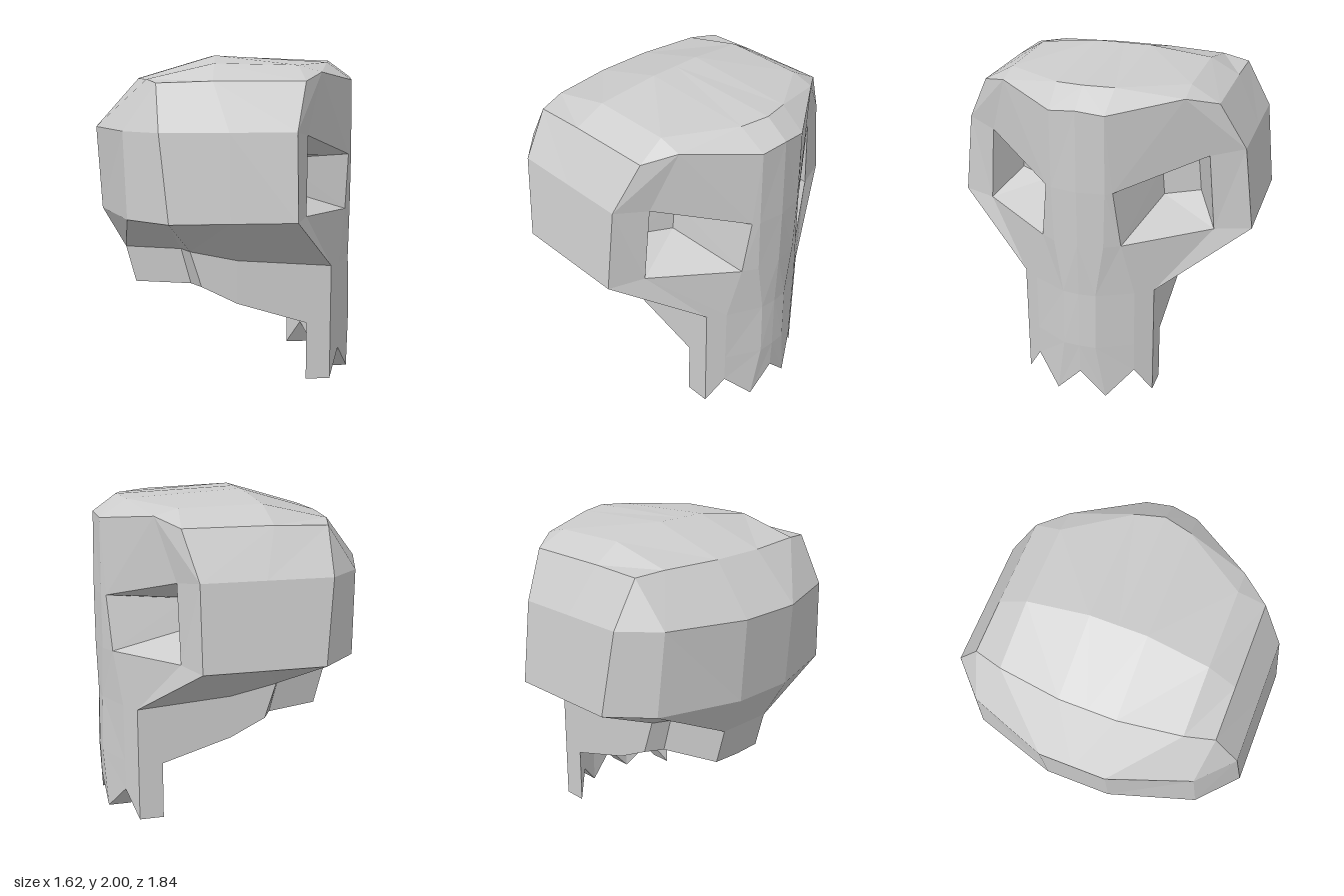
import * as THREE from 'three';

const material = new THREE.MeshStandardMaterial({ color: 0xcccccc, flatShading: true });

// Collects polygons for the +z half and mirrors each one to -z.
// 'out' is a rough outward direction that settles the corner order.
function makePart(name, build) {
  const pos = [];
  const face = (out, ...pts) => {
    const n = new THREE.Vector3();
    pts.forEach((p, i) => {
      const q = pts[(i + 1) % pts.length];
      n.x += (p[1] - q[1]) * (p[2] + q[2]);
      n.y += (p[2] - q[2]) * (p[0] + q[0]);
      n.z += (p[0] - q[0]) * (p[1] + q[1]);
    });
    const ring = n.dot(new THREE.Vector3(...out)) < 0 ? [...pts].reverse() : pts;
    for (let i = 1; i < ring.length - 1; i++) {
      const tri = [ring[0], ring[i], ring[i + 1]];
      tri.forEach(p => pos.push(...p));
      [tri[0], tri[2], tri[1]].forEach(p => pos.push(p[0], p[1], -p[2]));
    }
  };
  // Quads between two rows of equal length
  const strip = (out, a, b) => {
    for (let i = 0; i < a.length - 1; i++) face(out, a[i], a[i + 1], b[i + 1], b[i]);
  };
  build(face, strip);
  const geometry = new THREE.BufferGeometry();
  geometry.setAttribute('position', new THREE.Float32BufferAttribute(pos, 3));
  geometry.computeVertexNormals();
  const mesh = new THREE.Mesh(geometry, material);
  mesh.name = name;
  return mesh;
}

// Cross-sections of the cranium, from the midline down to the widest rim
const backArch = [[-.55, 1.86, 0], [-.55, 1.86, .17], [-.5, 1.86, .54], [-.45, 1.84, .71], [-.44, 1.57, .86], [-.39, 1.07, .92]];
const midArch = [[-.08, 2, 0], [-.08, 2, .17], [-.11, 1.95, .54], [-.13, 1.85, .71], [-.05, 1.57, .86], [-.05, 1.07, .92]];
const frontArch = [[.66, 1.97, 0], [.62, 1.96, .17], [.38, 1.94, .54], [.40, 1.85, .71], [.33, 1.57, .86], [.33, 1.07, .92]];
// Top edge of the face
const brow = [[.80, 1.87, 0], [.78, 1.85, .16], [.52, 1.90, .54], [.40, 1.85, .71]];
// Rear rings
const rearTop = [[-.81, 1.57, 0], [-.81, 1.57, .2], [-.64, 1.57, .67], backArch[4]];
const rearLow = [[-.78, 1.07, 0], [-.78, 1.07, .2], [-.62, 1.07, .71], backArch[5]];
// Where the underside meets the jaw and neck, from front to back
const base = [[.62, .72, .41], [.04, .76, .41], [-.25, .82, .41], [-.30, .82, .30], [-.64, .82, .18], [-.64, .82, 0]];
const baseLow = [[.47, .36, .41], [.04, .49, .41], [-.18, .6, .41], [-.24, .6, .30], [-.58, .595, .18], [-.59, .595, 0]];
// Rows of the muzzle, from the midline outwards
const muzzle = [[.80, .72, 0], [.79, .72, .10], [.69, .72, .31], [.62, .72, .41]];
const muzzleMid = [[.805, .36, 0], [.80, .36, .10], [.69, .36, .31], [.62, .36, .41]];
const teeth = [[.80, .17, 0], [.78, 0, .155], [.69, .17, .31], [.62, 0, .41]];
const teethInner = [[.65, .17, 0], [.64, 0, .155], [.55, .17, .31], [.47, 0, .41]];
// Eye opening and the smaller floor of its socket
const eye = [[.42, 1.54, .67], [.76, 1.39, .20], [.735, 1.05, .24], [.41, 1.075, .71]];
const eyeFloor = [[.20, 1.42, .56], [.29, 1.38, .36], [.29, 1.20, .375], [.20, 1.215, .58]];

export function createModel() {
  const group = new THREE.Group();
  group.name = 'skull';

  group.add(makePart('cranium', (face, strip) => {
    const up = [0, 1, .8];
    strip(up, backArch, midArch);
    strip(up, midArch, frontArch);
    // Slope from the crown to the brow
    strip([1, 1, .3], frontArch.slice(0, 3), brow.slice(0, 3));
    face([1, 1, .5], frontArch[2], brow[2], brow[3]);
    // Back of the head
    strip([-1, .5, .4], backArch.slice(0, 3), rearTop.slice(0, 3));
    face([-1, .5, 1], backArch[2], backArch[3], backArch[4], rearTop[2]);
    strip([-1, 0, .6], rearTop, rearLow);
    // Underside
    const rim = [frontArch[5], midArch[5], backArch[5], rearLow[2], rearLow[1], rearLow[0]];
    strip([0, -1, .1], rim, base);
  }));

  group.add(makePart('face', (face, strip) => {
    const out = [1, 0, .5];
    const upper = [[.81, 1.39, 0], [.785, 1.39, .16]];
    const lower = [[.81, 1.05, 0], [.785, 1.05, .15]];
    strip(out, brow.slice(0, 2), upper);
    strip(out, upper, lower);
    strip(out, lower, muzzle.slice(0, 2));
    // Around the eye opening
    face(out, eye[1], upper[1], brow[1], brow[2], eye[0]);
    face(out, brow[2], brow[3], frontArch[4], eye[0]);
    face(out, frontArch[4], frontArch[5], eye[3], eye[0]);
    face(out, upper[1], eye[1], eye[2], lower[1]);
    // Cheek
    face(out, eye[3], frontArch[5], muzzle[3], muzzle[2]);
    face(out, eye[3], muzzle[2], eye[2]);
    face(out, eye[2], muzzle[2], muzzle[1], lower[1]);
  }));

  group.add(makePart('eyeSockets', face => {
    const centre = [.4, 1.28, .46];
    eye.forEach((p, i) => {
      const j = (i + 1) % 4;
      const ring = [p, eye[j], eyeFloor[j], eyeFloor[i]];
      const inward = [0, 1, 2].map(k => centre[k] - ring.reduce((s, q) => s + q[k] / 4, 0));
      face(inward, ...ring);
    });
    face([1, 0, 0], ...eyeFloor);
  }));

  group.add(makePart('upperJaw', (face, strip) => {
    strip([1, 0, .5], muzzle, muzzleMid);
    strip([1, 0, .5], muzzleMid, teeth);
    // Tooth edges and the inner side of the tooth plate
    strip([0, -1, 0], teeth, teethInner);
    const innerTop = teethInner.map(([x, , z]) => [x, .36, z]);
    strip([-1, 0, 0], teethInner, innerTop);
    // Roof behind the teeth
    const front = baseLow[0], mid = [front[0], .36, 0];
    face([0, -1, 0], mid, ...innerTop);
    // Side walls
    face([0, 0, 1], base[1], base[0], muzzleMid[3], front, baseLow[1]);
    face([0, 0, 1], front, muzzleMid[3], teeth[3], teethInner[3]);
  }));

  group.add(makePart('neck', (face, strip) => {
    strip([-.6, 0, 1], base.slice(1, 5), baseLow.slice(1, 5));
    face([-1, 0, 0], base[4], base[5], baseLow[5], baseLow[4]);
    // Closed underside
    strip([0, -1, 0], baseLow, baseLow.map(([x, y]) => [x, y, 0]));
  }));

  return group;
}
